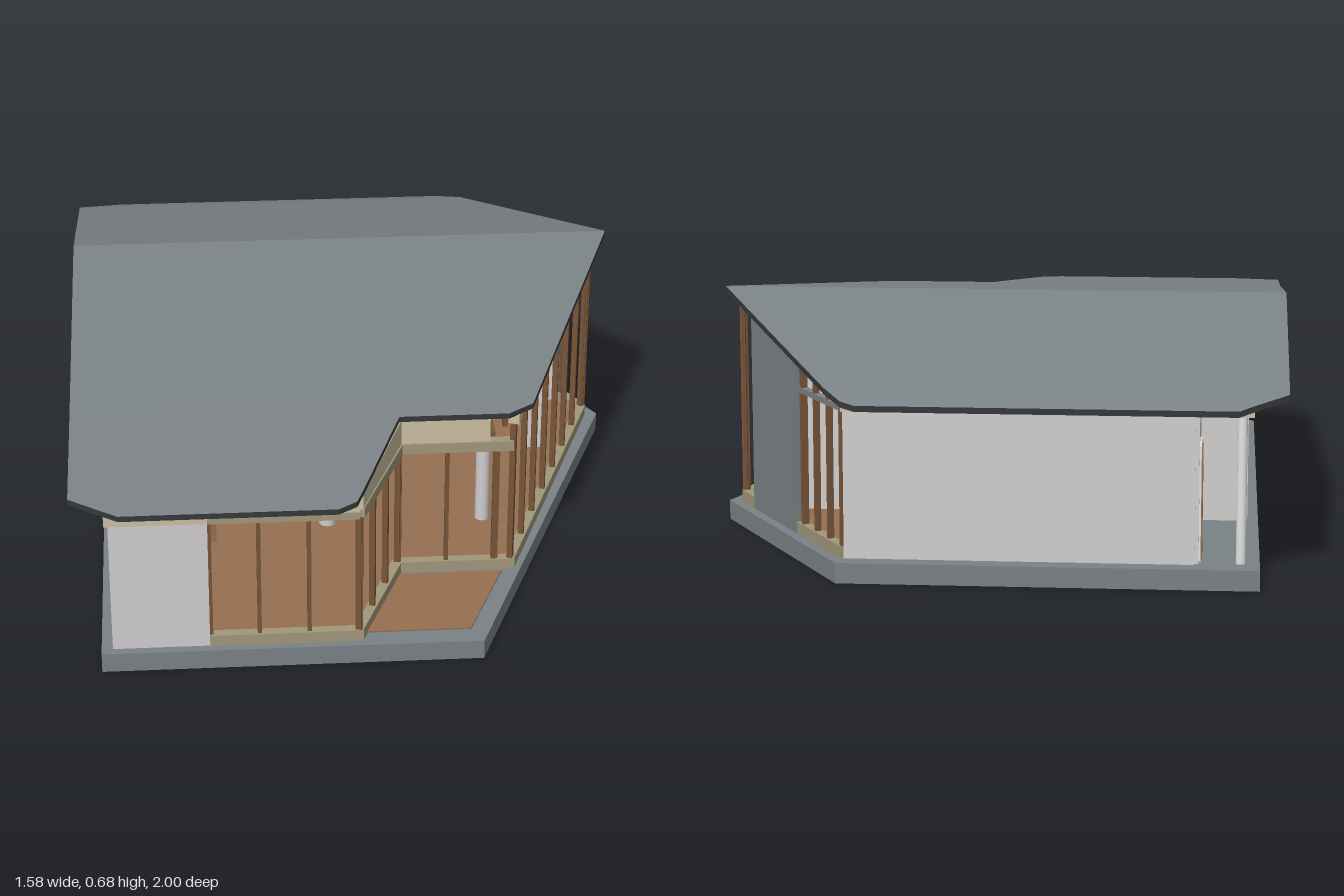
import * as THREE from 'three';

const mat = (name, color) => {
  const m = new THREE.MeshStandardMaterial({ color });
  m.name = name;
  return m;
};

export function createModel() {
  const slate = mat('slate', 0x7b8285);
  const dark = mat('dark trim', 0x35383a);
  const plaster = mat('plaster', 0xd2cecf);
  const floorWood = mat('floor wood', 0x966f51);
  const frameWood = mat('frame wood', 0x785539);
  const cream = mat('cream fascia', 0xcdbfa2);
  const olive = mat('olive beam', 0xa1977a);
  const white = mat('white', 0xe4e4e4);

  const house = new THREE.Group();
  house.name = 'house';
  const add = (name, geo, material, parent = house) => {
    const m = new THREE.Mesh(geo, material);
    m.name = name;
    parent.add(m);
    return m;
  };

  // Roof height along z, and the underside just below it
  const profile = [[-1, 0.48], [-0.92, 0.51], [-0.29, 0.675], [0.55, 0.56], [0.92, 0.522], [1, 0.513]];
  const roofY = (z) => {
    let i = 0;
    while (i < profile.length - 2 && z > profile[i + 1][0]) i++;
    const [z0, y0] = profile[i], [z1, y1] = profile[i + 1];
    return y0 + (y1 - y0) * (z - z0) / (z1 - z0);
  };
  const under = (z) => roofY(z) - 0.016;
  const below = (d) => (z) => under(z) - d;
  const at = (y, z) => (typeof y === 'function' ? y(z) : y);

  // Upright panel between two plan points; its edges may follow the roof
  function panel(name, material, a, b, thick, y0, y1) {
    const ts = [0, 1];
    for (const [z] of profile) {
      const t = (z - a[1]) / (b[1] - a[1]);
      if (t > 0.001 && t < 0.999) ts.push(t);
    }
    ts.sort((p, q) => p - q);
    const dx = b[0] - a[0], dz = b[1] - a[1], len = Math.hypot(dx, dz);
    for (let i = 0; i < ts.length - 1; i++) {
      const geo = new THREE.BoxGeometry(1, 1, 1);
      const p = geo.attributes.position;
      for (let k = 0; k < p.count; k++) {
        const t = p.getX(k) < 0 ? ts[i] : ts[i + 1];
        const n = p.getZ(k) * thick / len;
        const z = a[1] + dz * t;
        p.setXYZ(k, a[0] + dx * t - dz * n, at(p.getY(k) < 0 ? y0 : y1, z), z + dx * n);
      }
      geo.computeVertexNormals();
      add(name, geo, material);
    }
  }

  const box = (name, material, w, h, d, x, y, z) =>
    add(name, new THREE.BoxGeometry(w, h, d), material).position.set(x, y, z);

  const plate = (name, material, pts, y, h) => {
    const shape = new THREE.Shape(pts.map(([x, z]) => new THREE.Vector2(x, -z)));
    const geo = new THREE.ExtrudeGeometry(shape, { depth: h, bevelEnabled: false });
    add(name, geo.rotateX(-Math.PI / 2).translate(0, y, 0), material);
  };

  // Ground slab, floor and terrace
  plate('slab', slate, [[-0.72, 0.945], [0.305, 0.945], [0.785, -0.29], [0.388, -0.975], [-0.72, -0.975]], 0, 0.055);
  plate('floor', floorWood, [[-0.68, 0.91], [-0.03, 0.91], [0.1, 0.575], [0.415, 0.57], [0.735, -0.29],
    [0.37, -0.91], [-0.54, -0.91], [-0.54, -0.42], [-0.68, -0.42]], 0.055, 0.005);
  plate('terrace', floorWood, [[-0.01, 0.885], [0.275, 0.885], [0.39, 0.6], [0.1, 0.6]], 0.055, 0.004);

  // Roof from cross-sections: z, left x, right x
  const rows = [[-1, -0.66, 0.33], [-0.98, -0.69, 0.37], [-0.92, -0.79, 0.42], [-0.29, -0.79, 0.785],
    [0.55, -0.79, 0.47], [0.595, -0.79, 0.4], [0.595, -0.79, 0.1], [0.92, -0.79, -0.02],
    [0.97, -0.71, -0.04], [1, -0.66, -0.09]];
  const top = [], rest = [];
  const quad = (out, a, b, c, d) => out.push(...a, ...b, ...c, ...a, ...c, ...d);
  const corners = ([z, l, r]) => ({
    lt: [l, roofY(z), z], rt: [r, roofY(z), z], lb: [l, under(z), z], rb: [r, under(z), z],
  });
  for (let i = 0; i < rows.length - 1; i++) {
    const p = corners(rows[i]), q = corners(rows[i + 1]);
    if (rows[i][0] !== rows[i + 1][0]) {
      quad(top, p.lt, q.lt, q.rt, p.rt);
      quad(rest, p.lb, p.rb, q.rb, q.lb);
      quad(rest, q.lt, p.lt, p.lb, q.lb);
    }
    quad(rest, p.rt, q.rt, q.rb, p.rb);
  }
  const back = corners(rows[0]), front = corners(rows[rows.length - 1]);
  quad(rest, back.rt, back.rb, back.lb, back.lt);
  quad(rest, front.lt, front.lb, front.rb, front.rt);
  for (const [name, pos, m] of [['roofCovering', top, slate], ['roofEdgeAndSoffit', rest, dark]]) {
    const geo = new THREE.BufferGeometry();
    geo.setAttribute('position', new THREE.Float32BufferAttribute(pos, 3));
    geo.computeVertexNormals();
    add(name, geo, m);
  }

  // Plan points of the glazed outline
  const A = [-0.43, 0.91], B = [-0.03, 0.91], C = [0.1, 0.575], D = [0.415, 0.575];
  const E = [0.735, -0.29], F = [0.685, -0.38], G = [0.522, -0.66], H = [0.372, -0.915];

  // Plaster walls
  panel('frontWall', plaster, [-0.69, 0.91], A, 0.02, 0.055, 0.465);
  panel('sideWall', plaster, [-0.68, -0.42], [-0.68, 0.13], 0.02, 0.055, 0.46);
  panel('sideWall', plaster, [-0.68, 0.46], [-0.68, 0.92], 0.02, 0.055, 0.46);
  panel('sideWall', plaster, [-0.68, 0.13], [-0.68, 0.46], 0.02, 0.055, 0.33);
  panel('sideWall', plaster, [-0.68, 0.13], [-0.68, 0.46], 0.02, 0.385, 0.46);
  panel('backWall', plaster, H, [-0.55, -0.915], 0.02, 0.055, 0.455);
  panel('porchWall', plaster, [-0.55, -0.915], [-0.55, -0.42], 0.02, 0.055, under);
  panel('porchEndWall', plaster, [-0.55, -0.42], [-0.69, -0.42], 0.02, 0.055, under);
  panel('gableLining', plaster, [-0.67, -0.41], [-0.67, 0.9], 0.008, 0.46, under);
  panel('slateWall', slate, F, G, 0.03, 0.055, under);

  // Interior partitions and cupboard
  panel('partition', plaster, [-0.2, -0.39], [0.68, -0.39], 0.02, 0.06, under);
  panel('partition', plaster, [-0.36, 0.1], [-0.2, 0.1], 0.02, 0.06, 0.45);
  panel('partition', plaster, [0.54, -0.1], [0.6, -0.1], 0.03, 0.06, 0.45);
  box('cabinet', plaster, 0.06, 0.275, 0.07, 0.1, 0.1975, -0.105);
  box('cupboard', floorWood, 0.03, 0.1, 0.08, -0.42, 0.38, 0.8);

  // Cream gable and fascia boards
  panel('gable', cream, [-0.69, -0.92], [-0.69, 0.92], 0.02, 0.46, under);
  panel('frontFascia', cream, [-0.7, 0.925], [-0.43, 0.925], 0.02, 0.443, under);
  panel('frontFascia', cream, [-0.43, 0.92], [-0.03, 0.92], 0.02, 0.46, under);
  panel('returnFascia', cream, [-0.03, 0.915], C, 0.02, 0.46, under);
  panel('terraceFascia', cream, C, [0.35, 0.575], 0.02, 0.46, under);
  panel('backFascia', cream, [0.375, -0.92], [-0.7, -0.92], 0.024, 0.45, under);
  for (const [a, b] of [[D, E], [E, F], [G, H]]) panel('rafterBoard', cream, a, b, 0.03, below(0.03), under);

  // Sills and headers of the glazing
  for (const [a, b] of [[A, B], [B, C], [C, D], [D, E], [E, F], [G, H]])
    panel('sill', olive, a, b, 0.028, 0.055, 0.088);
  for (const [a, b] of [[A, B], [B, C], [C, D]]) panel('header', olive, a, b, 0.03, 0.435, 0.465);
  panel('backHeader', slate, G, H, 0.02, 0.45, 0.465);

  // Timber posts evenly spaced along each glazed run
  function posts(a, b, n, topY) {
    const angle = -Math.atan2(b[1] - a[1], b[0] - a[0]);
    for (let i = 0; i <= n; i++) {
      const x = a[0] + (b[0] - a[0]) * i / n, z = a[1] + (b[1] - a[1]) * i / n;
      const h = at(topY, z) - 0.088;
      const thick = i === 0 || i === n ? 0.018 : 0.011;
      const p = add('post', new THREE.BoxGeometry(thick, h, 0.016), frameWood);
      p.position.set(x, 0.088 + h / 2, z);
      p.rotation.y = angle;
    }
  }
  posts(A, B, 3, 0.435);
  posts(B, C, 3, 0.435);
  posts(C, [0.37, 0.575], 2, 0.435);
  posts(D, E, 7, below(0.03));
  posts(E, F, 1, below(0.03));
  posts([0.508, -0.685], H, 3, below(0.03));

  // Interior beams under the roof
  box('longBeam', frameWood, 0.016, 0.018, 0.92, 0.36, 0.465, 0.09);
  box('upperBeam', frameWood, 0.06, 0.018, 0.018, 0.385, 0.53, 0.54);
  for (const z of [0.2, -0.05, -0.3]) box('crossBeam', frameWood, 0.19, 0.014, 0.016, 0.445, 0.483, z);
  for (const z of [0.5, 0.02]) {
    const h = under(z) - 0.465;
    box('kingPost', frameWood, 0.014, h, 0.014, 0.4, 0.465 + h / 2, z);
  }

  // Round columns inside and the porch post
  for (const [x, z, r] of [[-0.08, 0.31, 0.024], [0.365, 0.31, 0.02], [-0.67, -0.9, 0.013]]) {
    const h = under(z) - 0.055;
    add(r < 0.015 ? 'porchPost' : 'column', new THREE.CylinderGeometry(r, r, h, 20), r < 0.015 ? white : plaster)
      .position.set(x, 0.055 + h / 2, z);
  }

  // Ribbon window in the side wall
  for (const y of [0.333, 0.382]) box('windowRail', white, 0.026, 0.008, 0.33, -0.68, y, 0.295);
  for (let i = 0; i < 5; i++) box('windowBar', white, 0.026, 0.055, 0.008, -0.68, 0.3575, 0.134 + i * 0.0805);
  box('windowPane', plaster, 0.006, 0.05, 0.32, -0.672, 0.3575, 0.295);

  // Porch door
  box('doorFrame', white, 0.006, 0.31, 0.12, -0.562, 0.21, -0.83);
  box('door', floorWood, 0.006, 0.295, 0.095, -0.566, 0.2025, -0.83);

  return house;
}
